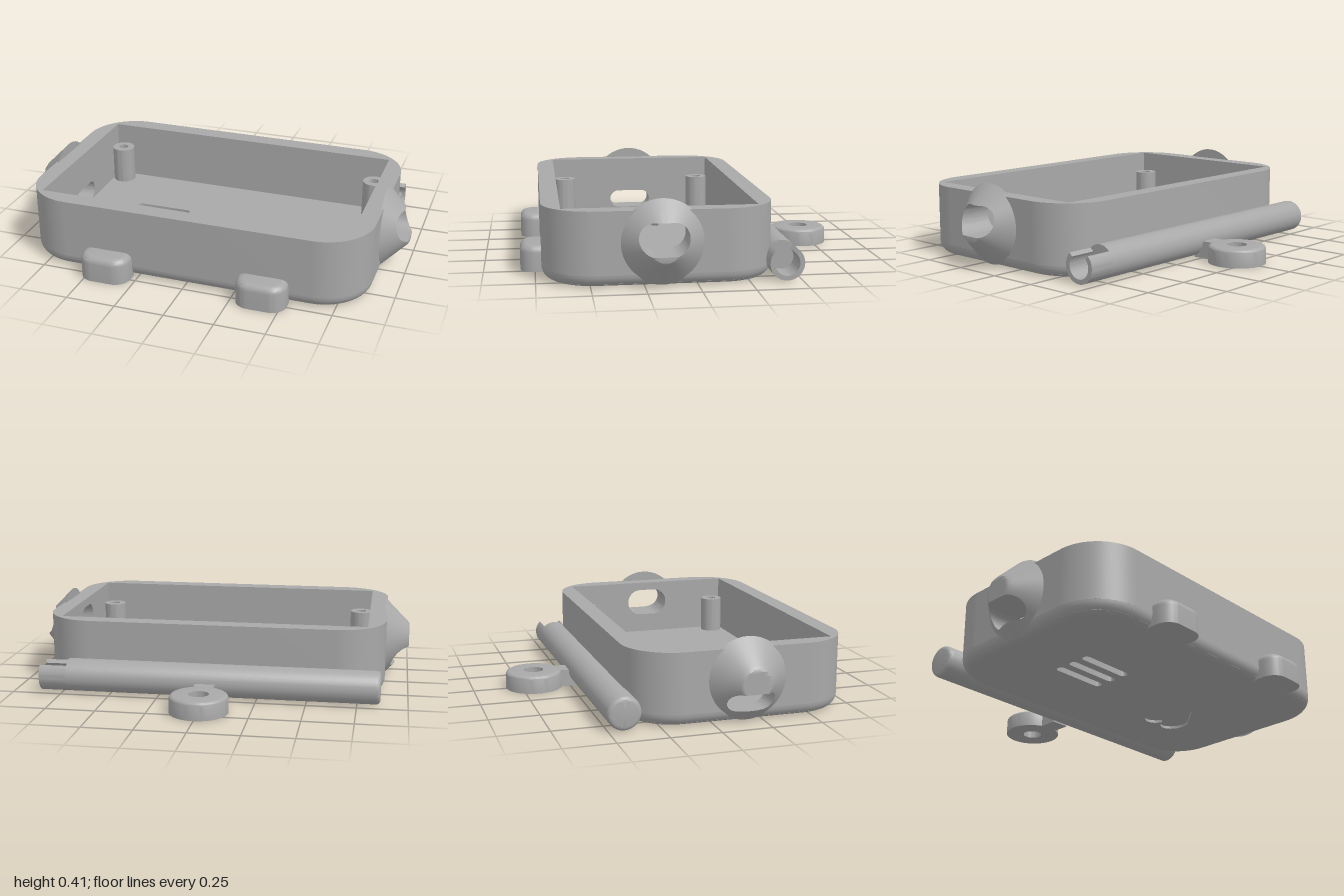
import * as THREE from 'three';
import { toCreasedNormals } from 'three/addons/utils/BufferGeometryUtils.js';

const V2 = THREE.Vector2;
const grey = new THREE.MeshStandardMaterial({ color: 0xa8a8a8 });
grey.name = 'plain grey';

function add(parent, name, geo, x = 0, y = 0, z = 0) {
  const m = new THREE.Mesh(toCreasedNormals(geo, 0.6), grey);
  m.name = name;
  m.position.set(x, y, z);
  parent.add(m);
  return m;
}

// Rounded rectangle as [x, z] points
function roundRect(hx, hz, r, n = 12) {
  const pts = [];
  [[1, 1], [-1, 1], [-1, -1], [1, -1]].forEach(([sx, sz], q) => {
    for (let i = 0; i <= n; i++) {
      const a = (q + i / n) * Math.PI / 2;
      pts.push([sx * (hx - r) + r * Math.cos(a), sz * (hz - r) + r * Math.sin(a)]);
    }
  });
  return pts;
}
const toPath = (pts, Type = THREE.Shape, dx = 0, dy = 0) =>
  new Type(pts.map(([x, y]) => new V2(x + dx, y + dy)));

// Skin over closed rings of equal length
function loft(rings) {
  const n = rings[0].length, idx = [];
  for (let j = 0; j < rings.length - 1; j++) {
    for (let i = 0; i < n; i++) {
      const k = (i + 1) % n, a = j * n + i, b = j * n + k;
      idx.push(a, a + n, b, b, a + n, b + n);
    }
  }
  const g = new THREE.BufferGeometry();
  g.setAttribute('position', new THREE.Float32BufferAttribute(rings.flat(2), 3));
  g.setIndex(idx);
  return g;
}
const ring = (hx, hz, r, y) => roundRect(hx, hz, r).map(([x, z]) => [x, y, z]);

// Shape drawn in x,z and raised from y0 to y1
function extrudeY(shape, y0, y1) {
  return new THREE.ExtrudeGeometry(shape, { depth: y1 - y0, bevelEnabled: false, curveSegments: 16 })
    .rotateX(Math.PI / 2).translate(0, y1, 0);
}
// Shape drawn in -z,y and stretched from x0 to x1
function extrudeX(shape, x0, x1) {
  return new THREE.ExtrudeGeometry(shape, { depth: x1 - x0, bevelEnabled: false, curveSegments: 24 })
    .rotateY(Math.PI / 2).translate(x0, 0, 0);
}
const lathe = (pts) => new THREE.LatheGeometry(pts.map(([x, y]) => new V2(x, y)), 48);

const HX = 0.88, HZ = 0.5525, R = 0.25, H = 0.36, FLOOR = 0.06;
const IX = 0.79, IZ = 0.4625, PZ = HZ - R;
const PORT_W = 0.1175, PORT_H = 0.075;

// Conical boss around an oblong opening centred at height cy
function portBoss(cy, h) {
  const axisY = 0.21, rad = 0.203, L = PORT_W - h, d = axisY - cy, N = 72, S = 20;
  const rings = [];
  const make = (fn) => {
    const out = [];
    for (let i = 0; i < N; i++) {
      const a = i / N * Math.PI * 2, c = Math.cos(a), s = Math.sin(a);
      const as = Math.abs(s), ac = Math.abs(c);
      const r0 = as * h <= L * ac ? h / ac : L * as + Math.sqrt(Math.max(0, L * L * as * as - L * L + h * h));
      const r1 = d * c + Math.sqrt(rad * rad - d * d * s * s);
      const [t, fixedX] = fn;
      const p = r0 + (r1 - r0) * t, y = cy + p * c, z = p * s;
      const x = fixedX ?? Math.min(1, 0.87 + rad - Math.hypot(y - axisY, z));
      out.push([x, y, z]);
    }
    rings.push(out);
  };
  make([0, 0.88]);
  for (let j = 0; j <= S; j++) make([j / S]);
  make([0, 0.87]);
  return loft(rings);
}

export function createModel() {
  const model = new THREE.Group();
  model.name = 'openCase';
  const body = new THREE.Group();
  body.name = 'caseBody';
  body.position.z = 0.1675;
  model.add(body);

  // Rounded lower edge
  const edge = [];
  for (let i = 0; i <= 8; i++) {
    const a = i / 8 * Math.PI / 2, inset = FLOOR * (1 - Math.sin(a));
    edge.push(ring(HX - inset, HZ - inset, R - inset, FLOOR * (1 - Math.cos(a))));
  }
  add(body, 'lowerEdge', loft(edge));

  // Floor in two layers: slots go through both, the heart only through the lower
  const slots = () => [-0.09, 0, 0.09].map((z) =>
    toPath(roundRect(0.15, 0.0225, 0.022, 6), THREE.Path, -0.365, z));
  const skin = toPath(roundRect(HX - 0.06, HZ - 0.06, R - 0.06));
  const heart = new THREE.Path();
  const hx = 0.375, hz = 0.02;
  heart.moveTo(hx, hz);
  heart.lineTo(hx + 0.115, hz - 0.13);
  heart.bezierCurveTo(hx + 0.16, hz - 0.2, hx + 0.1, hz - 0.28, hx + 0.05, hz - 0.265);
  heart.quadraticCurveTo(hx + 0.015, hz - 0.255, hx, hz - 0.215);
  heart.quadraticCurveTo(hx - 0.015, hz - 0.255, hx - 0.05, hz - 0.265);
  heart.bezierCurveTo(hx - 0.1, hz - 0.28, hx - 0.16, hz - 0.2, hx - 0.115, hz - 0.13);
  heart.lineTo(hx, hz);
  skin.holes.push(...slots(), heart);
  add(body, 'undersideWithHeartRecess', extrudeY(skin, 0, 0.015));
  const floor = toPath(roundRect(HX - 0.02, HZ - 0.02, R - 0.02));
  floor.holes.push(...slots());
  add(body, 'floor', extrudeY(floor, 0.015, FLOOR));

  // Front and back walls with their corners
  for (const s of [1, -1]) {
    const w = new THREE.Shape();
    w.moveTo(HX, s * PZ);
    w.absarc(HX - R, s * PZ, R, 0, s * Math.PI / 2, s < 0);
    w.absarc(R - HX, s * PZ, R, s * Math.PI / 2, s * Math.PI, s < 0);
    w.lineTo(-IX, s * PZ);
    w.lineTo(-IX, s * IZ);
    w.lineTo(IX, s * IZ);
    w.lineTo(IX, s * PZ);
    add(body, s > 0 ? 'frontWall' : 'backWall', extrudeY(w, FLOOR, H));
  }

  // Side walls with oblong openings and conical bosses
  for (const [s, cy, h] of [[1, 0.24, PORT_H], [-1, 0.115, 0.05]]) {
    const side = s > 0 ? 'left' : 'right';
    const p = new THREE.Shape([new V2(-PZ, FLOOR), new V2(PZ, FLOOR), new V2(PZ, H), new V2(-PZ, H)]);
    p.holes.push(toPath(roundRect(PORT_W, h, h - 0.0005, 16), THREE.Path, 0, cy));
    add(body, side + 'Wall', extrudeX(p, IX, HX)).rotation.y = s > 0 ? 0 : Math.PI;
    add(body, side + 'PortBoss', portBoss(cy, h)).rotation.y = s > 0 ? 0 : Math.PI;
  }

  // Screw posts
  for (const x of [-0.73, 0.73]) {
    for (const z of [-0.397, 0.393]) {
      add(body, 'screwPost', lathe([[0.06, 0.05], [0.06, 0.255], [0.026, 0.255], [0.026, 0.14], [0, 0.14]]), x, 0, z);
    }
  }

  // Front feet with rounded tops
  for (const x of [-0.402, 0.402]) {
    const rings = [ring(0.0001, 0.0001, 0.0001, 0), ring(0.126, 0.09, 0.075, 0)];
    for (let i = 0; i <= 6; i++) {
      const a = i / 6 * Math.PI / 2, inset = 0.035 * (1 - Math.cos(a));
      rings.push(ring(0.126 - inset, 0.09 - inset, 0.075 - inset, 0.095 + 0.035 * Math.sin(a)));
    }
    rings.push(ring(0.0001, 0.0001, 0.0001, 0.13));
    add(model, 'foot', loft(rings), x, 0, 0.732);
  }

  // Rear tube, solid for most of its length
  const tr = 0.083, tube = [[0, -0.865]];
  for (let i = 0; i <= 6; i++) {
    const a = i / 6 * Math.PI / 2;
    tube.push([tr - 0.022 + 0.022 * Math.sin(a), -0.843 - 0.022 * Math.cos(a)]);
  }
  tube.push([tr, 0.72], [0, 0.72]);
  add(model, 'rearTube', lathe(tube).rotateZ(-Math.PI / 2), 0, 0.086, -0.425);

  // Open-topped channel at the tube's end
  const c = new THREE.Shape();
  const a0 = Math.PI * 0.75, a1 = Math.PI * 2.25;
  c.absarc(0, 0, tr, a0, a1, false);
  c.absarc(0, 0, 0.06, a1, a0, true);
  add(model, 'tubeChannel', extrudeX(c, 0.72, 0.86), 0, 0.086, -0.425);

  // Hanging ring and its neck
  const prof = [[0.05, 0], [0.145, 0], [0.145, 0.07]];
  for (let i = 1; i <= 5; i++) {
    const a = i / 5 * Math.PI / 2;
    prof.push([0.125 + 0.02 * Math.cos(a), 0.07 + 0.02 * Math.sin(a)]);
  }
  prof.push([0.05, 0.09], [0.05, 0]);
  add(model, 'hangingRing', lathe(prof), 0, 0, -0.685);
  add(model, 'ringNeck', new THREE.BoxGeometry(0.1, 0.088, 0.11), 0, 0.044, -0.51);

  return model;
}
